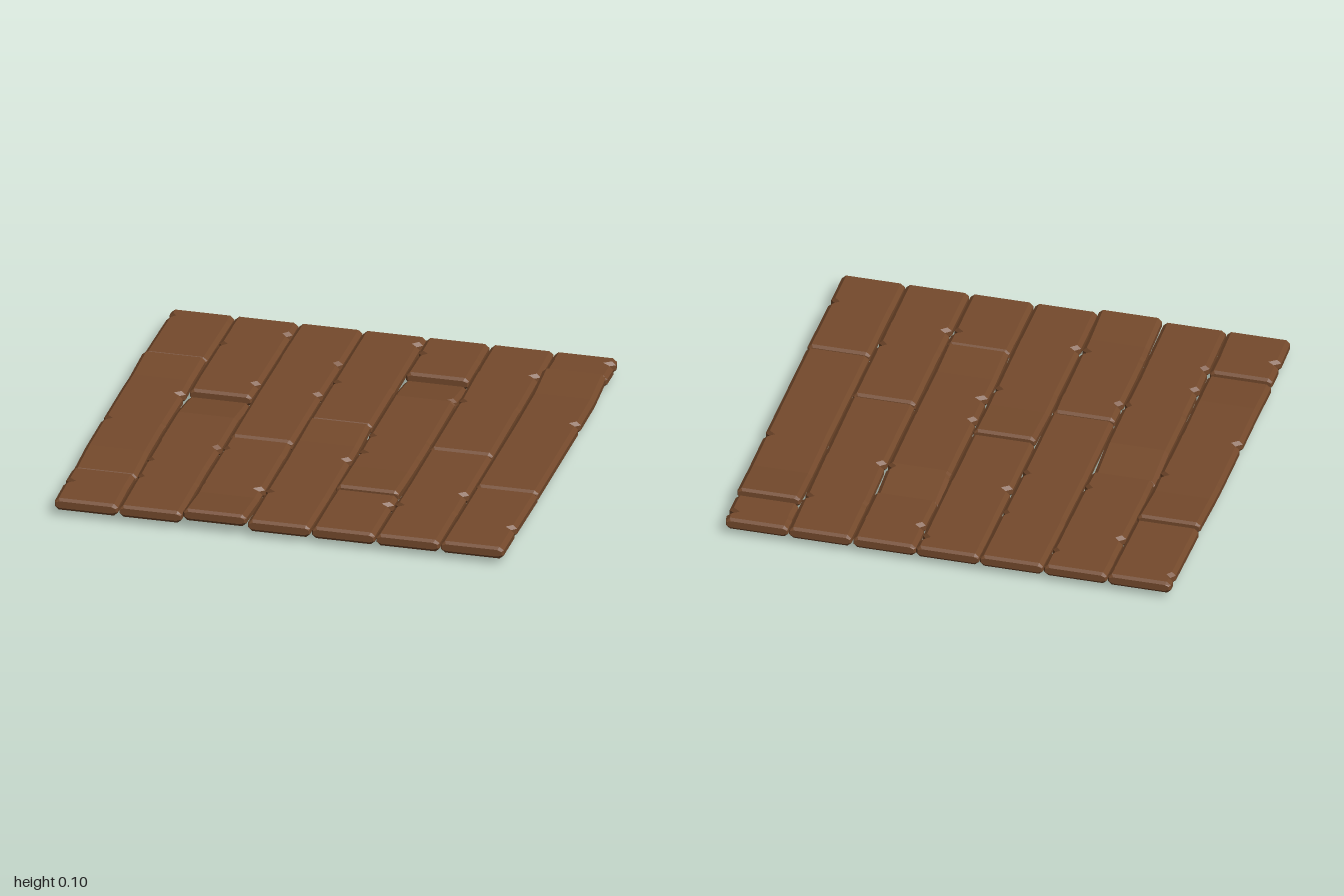
import * as THREE from 'three';

const BACK = -0.985, FRONT = 0.982;  // ends of the floor
const BOTTOM = 0.03, TOP = 0.085;    // resting height of every board
const BEVEL = 0.018, DROP = 0.016;   // width and height of the worn edges
const WIDTH = 0.277, GAP = 0.006;    // board width, half gap between board ends
const BEND = 0.22;                   // length over which a warped end rises or sinks

// Each row of boards: joints as z, then warp of the board end behind and in front of it;
// chips in the left and right edges as z positions
const rows = [
  { joints: [{ z: -0.53, after: 0.013 }, { z: 0.65, before: -0.012 }], left: [-0.92, 0.14, 0.79], right: [-0.17] },
  { joints: [{ z: -0.216, after: -0.028 }], left: [-0.7, 0.5, 0.67], right: [-0.86, -0.35, 0.31] },
  { joints: [{ z: 0.181 }], frontWarp: 0.018, left: [0.31], right: [-0.63, -0.31, 0.67] },
  { joints: [{ z: -0.066, after: 0.011 }], left: [-0.45, 0.68], right: [-0.9, 0.29] },
  { joints: [{ z: -0.609, after: -0.029 }, { z: 0.575, before: 0.01 }], left: [-0.82, 0.03, 0.2], right: [-0.4, 0.68] },
  { joints: [{ z: 0.088 }], left: [-0.4, 0.67], right: [-0.72, 0.5] },
  { joints: [{ z: -0.782, after: 0.02 }, { z: 0.403 }], left: [], right: [-0.92, -0.3, 0.77] },
];

// Small seeded generator for the uneven edges
let seed;
function random(min, max) {
  seed = (seed * 16807) % 2147483647;
  return min + (seed / 2147483647) * (max - min);
}

// Left edge of a row: rows fan out slightly to the front and bow outwards mid-floor
function rowEdge(row, z) {
  const x = -0.989 + 0.282 * row + (row - 2) * 0.001 * z;
  return x * (1 + 0.01 * Math.cos(z * Math.PI / 2));
}

// Board made of octagonal cross-sections from back to front
function boardGeometry(row, z0, z1, backWarp, frontWarp) {
  const cap = 0.01, half = 0.024;
  const sections = [{ z: z0, end: 1 }, { z: z0 + cap }, { z: z1 - cap }, { z: z1, end: 1 }];
  if (backWarp) sections.push({ z: z0 + BEND });
  if (frontWarp) sections.push({ z: z1 - BEND });
  for (const side of ['left', 'right']) {
    for (const z of rows[row][side]) {
      if (z < z0 || z > z1) continue;
      sections.push({ z: z - half }, { z, [side]: random(0.017, 0.032) }, { z: z + half });
    }
  }
  sections.sort((p, q) => p.z - q.z);

  const rings = sections.map(({ z, end = 0, left = 0, right = 0 }) => {
    const edge = rowEdge(row, z);
    const xl = edge + left + end * 0.006 + random(-0.002, 0.002);
    const xr = edge + WIDTH - right - end * 0.006 + random(-0.002, 0.002);
    const warp = backWarp * Math.max(0, 1 - (z - z0) / BEND) + frontWarp * Math.max(0, 1 - (z1 - z) / BEND);
    const lo = BOTTOM + warp + end * 0.012, hi = TOP + warp - end * 0.012;
    const drop = end ? 0.007 : DROP;
    return [
      [xr, lo + drop], [xr, hi - drop], [xr - BEVEL, hi], [xl + BEVEL, hi],
      [xl, hi - drop], [xl, lo + drop], [xl + BEVEL, lo], [xr - BEVEL, lo],
    ].map(([x, y]) => [x, y, z]);
  });

  const points = [];
  const face = (...corners) => corners.forEach((p) => points.push(...p));
  for (let i = 0; i < rings.length - 1; i++) {
    const p = rings[i], q = rings[i + 1];
    for (let j = 0; j < 8; j++) {
      const k = (j + 1) % 8;
      face(p[j], p[k], q[k]);
      face(p[j], q[k], q[j]);
    }
  }
  // End caps
  const first = rings[0], last = rings[rings.length - 1];
  for (let k = 1; k < 7; k++) {
    face(last[0], last[k], last[k + 1]);
    face(first[0], first[k + 1], first[k]);
  }
  const geometry = new THREE.BufferGeometry();
  geometry.setAttribute('position', new THREE.Float32BufferAttribute(points, 3));
  geometry.computeVertexNormals();
  return geometry;
}

export function createModel() {
  seed = 7;
  const wood = new THREE.MeshStandardMaterial({ color: 0x754a2c, flatShading: true });
  wood.name = 'brown wood';

  const floor = new THREE.Group();
  floor.name = 'plankFloor';
  rows.forEach(({ joints, frontWarp = 0 }, r) => {
    const plankRow = new THREE.Group();
    plankRow.name = `plankRow${r + 1}`;
    // One board between each pair of neighbouring joints
    const ends = [{ z: BACK - GAP }, ...joints, { z: FRONT + GAP, before: frontWarp }];
    for (let i = 0; i < ends.length - 1; i++) {
      const { z: z0, after = 0 } = ends[i];
      const { z: z1, before = 0 } = ends[i + 1];
      const plank = new THREE.Mesh(boardGeometry(r, z0 + GAP, z1 - GAP, after, before), wood);
      plank.name = `plank${r + 1}_${i + 1}`;
      plankRow.add(plank);
    }
    floor.add(plankRow);
  });
  return floor;
}
